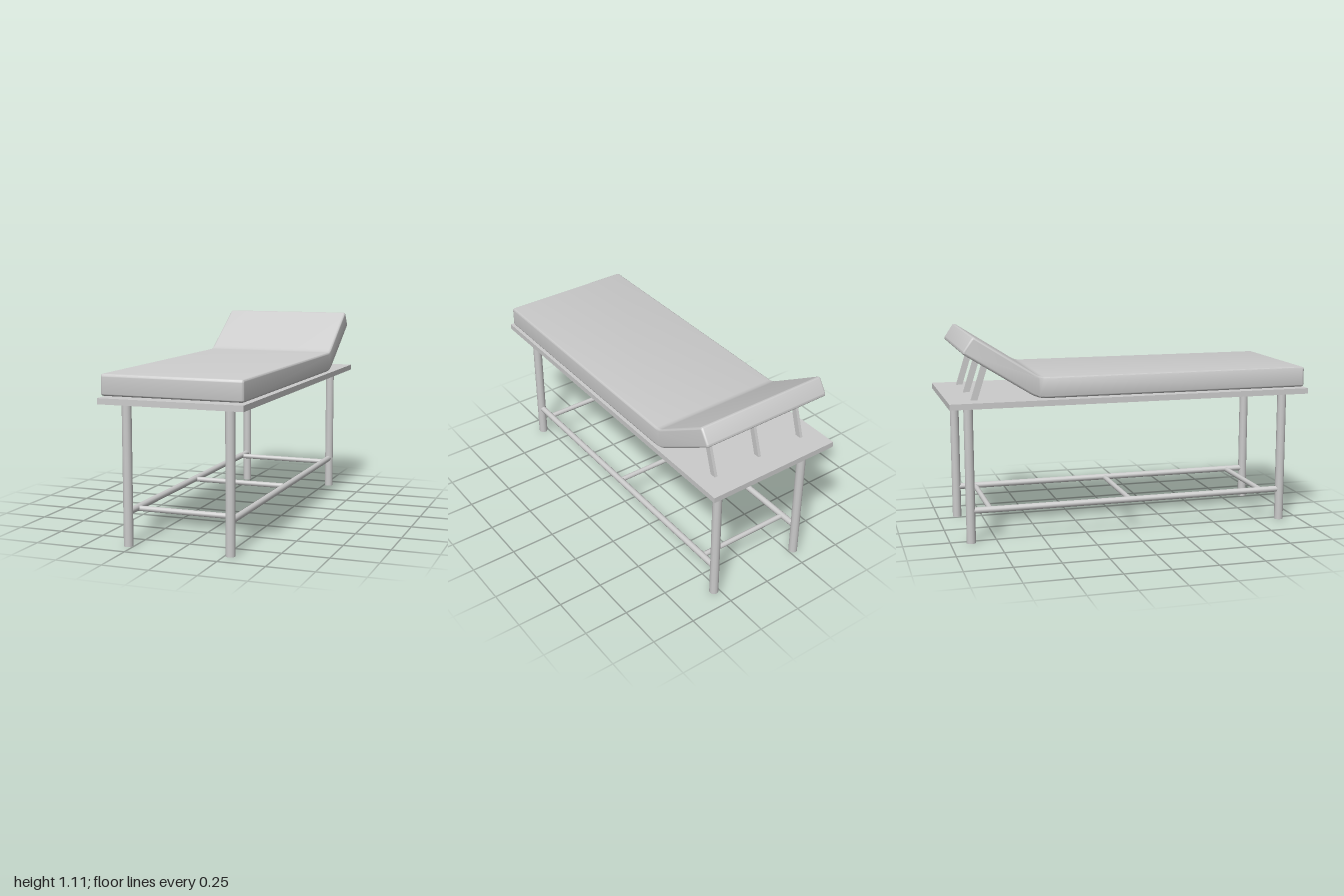
import * as THREE from 'three';
import { toCreasedNormals } from 'three/addons/utils/BufferGeometryUtils.js';

const material = new THREE.MeshStandardMaterial({ color: 0xcccccc });

function add(parent, name, geometry, x = 0, y = 0, z = 0) {
  const mesh = new THREE.Mesh(geometry, material);
  mesh.name = name;
  mesh.position.set(x, y, z);
  parent.add(mesh);
  return mesh;
}

// Closed outline whose corners [x, y, cut] are rounded, starting each curve "cut" away
function roundedShape(corners) {
  const shape = new THREE.Shape();
  const pts = corners.map(([x, y]) => new THREE.Vector2(x, y));
  const n = pts.length;
  pts.forEach((p, i) => {
    const cut = corners[i][2];
    const toward = (q) => q.clone().sub(p).setLength(cut).add(p);
    const a = toward(pts[(i + n - 1) % n]);
    const b = toward(pts[(i + 1) % n]);
    if (i === 0) shape.moveTo(a.x, a.y);
    else shape.lineTo(a.x, a.y);
    shape.quadraticCurveTo(p.x, p.y, b.x, b.y);
  });
  shape.closePath();
  return shape;
}

// Side profile (x runs toward the head end) extruded across the width
function mattressGeometry() {
  const bevel = 0.012;
  const width = 0.76;
  const shape = roundedShape([
    [-0.978, 0.781, 0.016],
    [0.533, 0.781, 0.05],
    [0.928, 1.029, 0.016],
    [0.87, 1.117, 0.016],
    [0.52, 0.893, 0.03],
    [-0.978, 0.893, 0.016],
  ]);
  const geometry = new THREE.ExtrudeGeometry(shape, {
    depth: width - 2 * bevel,
    bevelEnabled: true,
    bevelSize: bevel,
    bevelThickness: bevel,
    bevelOffset: -bevel,
    bevelSegments: 4,
    curveSegments: 6,
  });
  geometry.translate(0, 0, bevel - width / 2);
  geometry.rotateY(Math.PI / 2);
  return toCreasedNormals(geometry, 0.6);
}

export function createModel() {
  const group = new THREE.Group();
  group.name = 'examinationTable';

  add(group, 'board', new THREE.BoxGeometry(0.776, 0.031, 2), 0, 0.7575, 0);
  add(group, 'mattress', mattressGeometry());

  // Legs and long side rails
  const legGeometry = new THREE.CylinderGeometry(0.025, 0.025, 0.744, 12);
  const railGeometry = new THREE.CylinderGeometry(0.0175, 0.0175, 1.76, 12).rotateX(Math.PI / 2);
  for (const x of [-0.279, 0.279]) {
    for (const z of [-0.89, 0.89]) add(group, 'leg', legGeometry, x, 0.372, z);
    add(group, 'sideRail', railGeometry, x, 0.177, 0);
  }

  // Cross bars between the rails
  const barGeometry = new THREE.CylinderGeometry(0.0145, 0.0145, 0.558, 12).rotateZ(Math.PI / 2);
  for (const z of [-0.78, 0, 0.78]) add(group, 'crossBar', barGeometry, 0, 0.174, z);

  // Slanted props under the raised backrest
  const foot = new THREE.Vector2(-0.86, 0.765);
  const top = new THREE.Vector2(-0.798, 0.96);
  const prop = top.clone().sub(foot);
  const propGeometry = new THREE.BoxGeometry(0.016, prop.length(), 0.033);
  for (const x of [-0.28, 0, 0.28]) {
    const mesh = add(group, 'backrestProp', propGeometry, x, (foot.y + top.y) / 2, (foot.x + top.x) / 2);
    mesh.rotation.x = Math.atan2(prop.x, prop.y);
  }

  return group;
}
